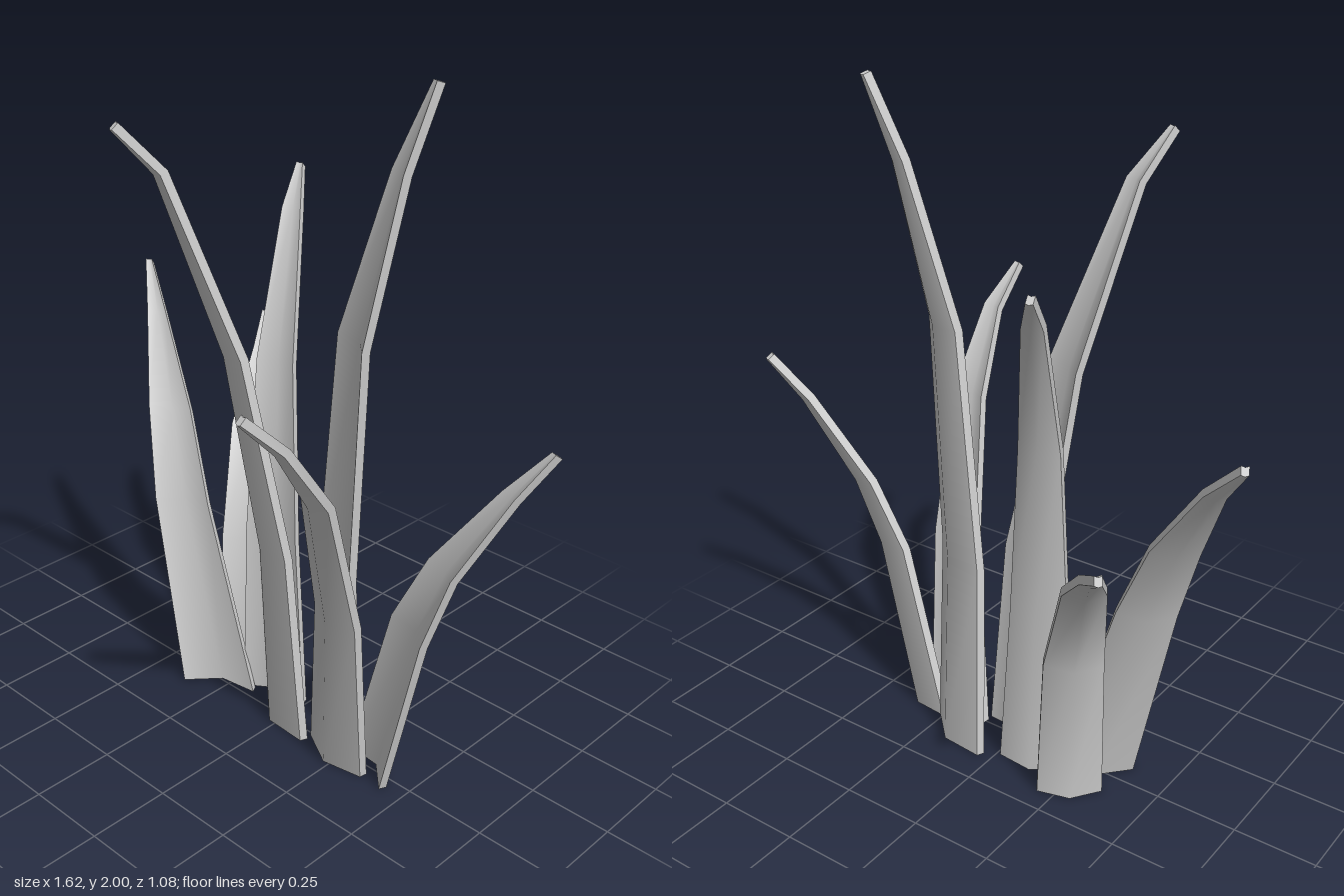
import * as THREE from 'three';
import { toCreasedNormals } from 'three/addons/utils/BufferGeometryUtils.js';

const THICK = 0.024;   // leaf thickness
const FOLD = 0.18;     // depth of the midrib fold relative to width

// A folded, tapering leaf: spine points, one width per spine point, and the turn of its width in the ground plane.
function leafGeometry(spine, widths, degrees) {
  const pts = spine.map(p => new THREE.Vector3(...p));
  const turn = THREE.MathUtils.degToRad(degrees);
  const across = new THREE.Vector3(Math.cos(turn), 0, Math.sin(turn));
  const lean = pts[pts.length - 1].clone().sub(pts[0]).setY(0);
  // keep the midrib on the outer side of the leaf
  if (across.clone().cross(new THREE.Vector3(0, 1, 0)).dot(lean) < 0) across.negate();

  // six-point rings: three outer points, then three inner points
  const rings = pts.map((p, k) => {
    const tangent = pts[Math.min(k + 1, pts.length - 1)].clone().sub(pts[Math.max(k - 1, 0)]);
    if (k === 0) tangent.set(0, 1, 0);
    const out = across.clone().cross(tangent).normalize();
    const corner = (u, side) => p.clone()
      .addScaledVector(across, u * widths[k] / 2)
      .addScaledVector(out, (1 - Math.abs(u)) * FOLD * widths[k] + side * THICK / 2);
    return [corner(-1, 1), corner(0, 1), corner(1, 1), corner(1, -1), corner(0, -1), corner(-1, -1)];
  });

  const pos = [];
  const quad = (a, b, c, d) => [a, b, c, a, c, d].forEach(v => pos.push(v.x, v.y, v.z));
  for (let k = 0; k < rings.length - 1; k++) {
    for (let j = 0; j < 6; j++) {
      const n = (j + 1) % 6;
      quad(rings[k][j], rings[k][n], rings[k + 1][n], rings[k + 1][j]);
    }
  }
  // closed tip and base
  const t = rings[rings.length - 1], b = rings[0];
  quad(t[0], t[1], t[4], t[5]);
  quad(t[1], t[2], t[3], t[4]);
  quad(b[5], b[4], b[1], b[0]);
  quad(b[4], b[3], b[2], b[1]);

  const geo = new THREE.BufferGeometry();
  geo.setAttribute('position', new THREE.Float32BufferAttribute(pos, 3));
  return toCreasedNormals(geo, 0.85);
}

export function createModel() {
  const group = new THREE.Group();
  group.name = 'grassTuft';
  const material = new THREE.MeshStandardMaterial({ color: 0xcccccc });
  const leaf = (name, degrees, widths, spine) => {
    const mesh = new THREE.Mesh(leafGeometry(spine, widths, degrees), material);
    mesh.name = name;
    group.add(mesh);
  };

  // tall central leaves
  leaf('tallestLeaf', 25, [0.25, 0.22, 0.16, 0.07, 0.02],
    [[0.15, 0, -0.09], [0.17, 0.6, -0.04], [0.24, 1.31, -0.01], [0.34, 1.77, -0.06], [0.405, 1.995, -0.11]]);
  leaf('tallFrontLeaf', 23, [0.26, 0.2, 0.135, 0.06, 0.02],
    [[0, 0, -0.01], [-0.01, 0.62, 0.03], [-0.09, 1.22, 0.1], [-0.21, 1.73, 0.24], [-0.26, 1.855, 0.345]]);
  leaf('tallBackLeaf', -15, [0.21, 0.17, 0.12, 0.06, 0.02],
    [[-0.11, 0, -0.07], [-0.14, 0.55, -0.09], [-0.18, 1.09, -0.15], [-0.26, 1.5, -0.3], [-0.31, 1.605, -0.385]]);

  // shorter leaves arching outward
  leaf('frontLeaf', 10, [0.24, 0.18, 0.12, 0.06, 0.02],
    [[0.24, 0, 0.02], [0.3, 0.55, 0.1], [0.35, 0.98, 0.24], [0.385, 1.2, 0.41], [0.37, 1.31, 0.525]]);
  leaf('rightSideLeaf', -28, [0.23, 0.17, 0.135, 0.06, 0.02],
    [[-0.27, 0, 0.02], [-0.43, 0.6, 0.01], [-0.54, 0.86, -0.05], [-0.69, 1.11, -0.14], [-0.8, 1.235, -0.21]]);
  leaf('leftSideLeaf', 25, [0.21, 0.18, 0.13, 0.06, 0.02],
    [[0.34, 0, 0], [0.48, 0.54, 0.01], [0.56, 0.75, -0.02], [0.71, 1, -0.09], [0.795, 1.125, -0.15]]);
  leaf('backCornerLeaf', -35, [0.19, 0.17, 0.12, 0.055, 0.02],
    [[-0.27, 0, -0.12], [-0.29, 0.46, -0.14], [-0.39, 0.78, -0.25], [-0.52, 0.95, -0.43], [-0.605, 1.025, -0.53]]);

  return group;
}
